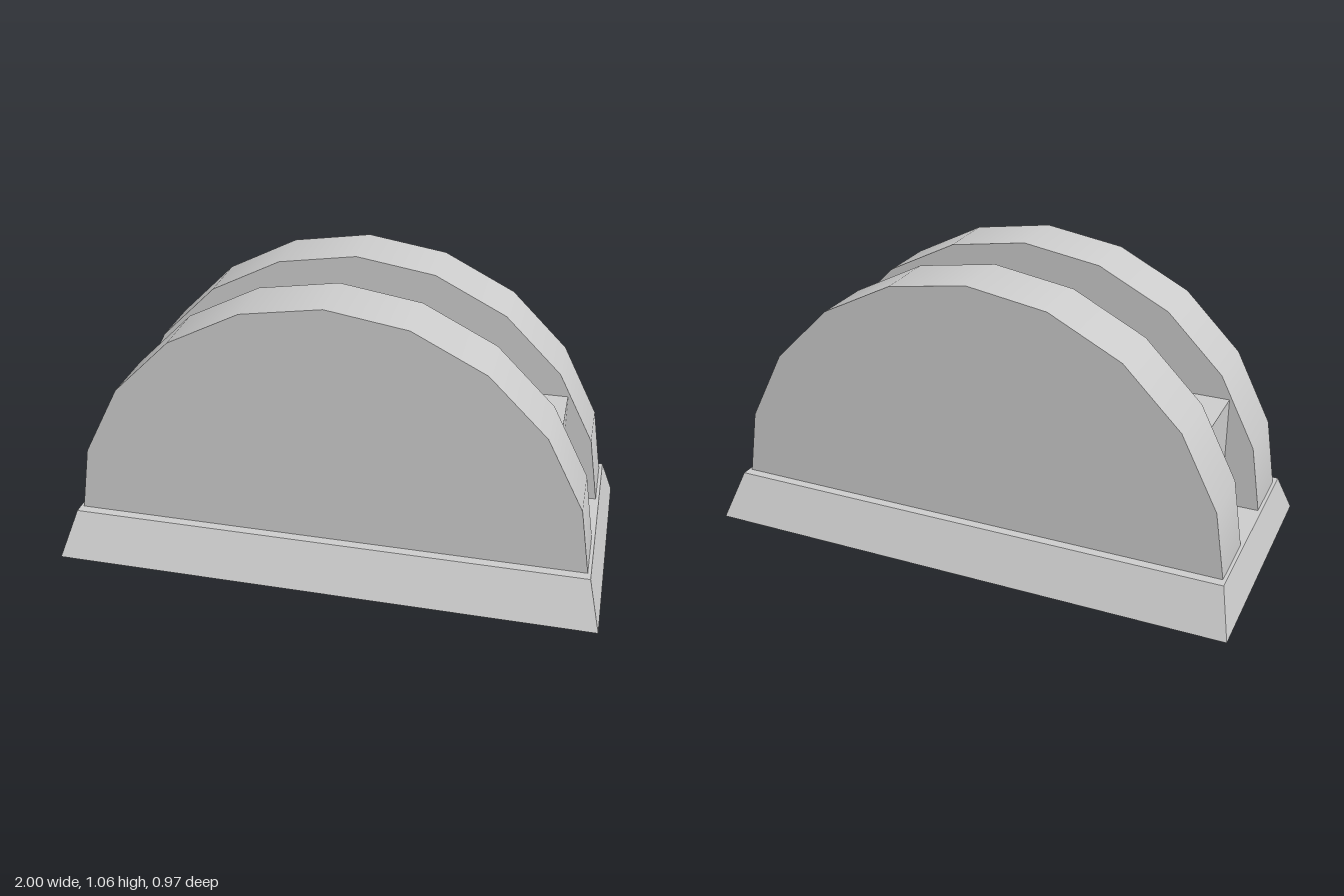
import * as THREE from 'three';

const BASE_H = 0.16;

export function createModel() {
  const model = new THREE.Group();
  const material = new THREE.MeshStandardMaterial({ color: 0xcccccc });

  const add = (name, geometry, x, y, z) => {
    const mesh = new THREE.Mesh(geometry, material);
    mesh.name = name;
    mesh.position.set(x, y, z);
    model.add(mesh);
  };

  // Base: a box whose top is drawn in to give sloping sides
  const base = new THREE.BoxGeometry(2, BASE_H, 0.97);
  const p = base.attributes.position;
  for (let i = 0; i < p.count; i++) {
    if (p.getY(i) > 0) {
      p.setX(i, Math.sign(p.getX(i)) * 0.955);
      p.setZ(i, Math.sign(p.getZ(i)) * 0.4);
    }
  }
  base.computeVertexNormals();
  add('base', base, 0, BASE_H / 2, 0);

  // Two upright half discs, sunk slightly into the base
  const inner = 0.128, outer = 0.365;
  const disc = new THREE.CylinderGeometry(0.95, 0.95, outer - inner, 10, 1, false, -Math.PI / 2, Math.PI);
  disc.rotateX(-Math.PI / 2);
  for (const side of [1, -1]) {
    add(side > 0 ? 'frontHalfDisc' : 'backHalfDisc', disc, 0, 0.115, side * (inner + outer) / 2);
  }

  // Spacer blocks joining the half discs near each end
  const spacerH = 0.585 - BASE_H;
  const spacer = new THREE.BoxGeometry(0.27, spacerH, inner * 2);
  for (const side of [1, -1]) {
    add(side > 0 ? 'leftSpacer' : 'rightSpacer', spacer, side * 0.668, BASE_H + spacerH / 2, 0);
  }

  return model;
}
